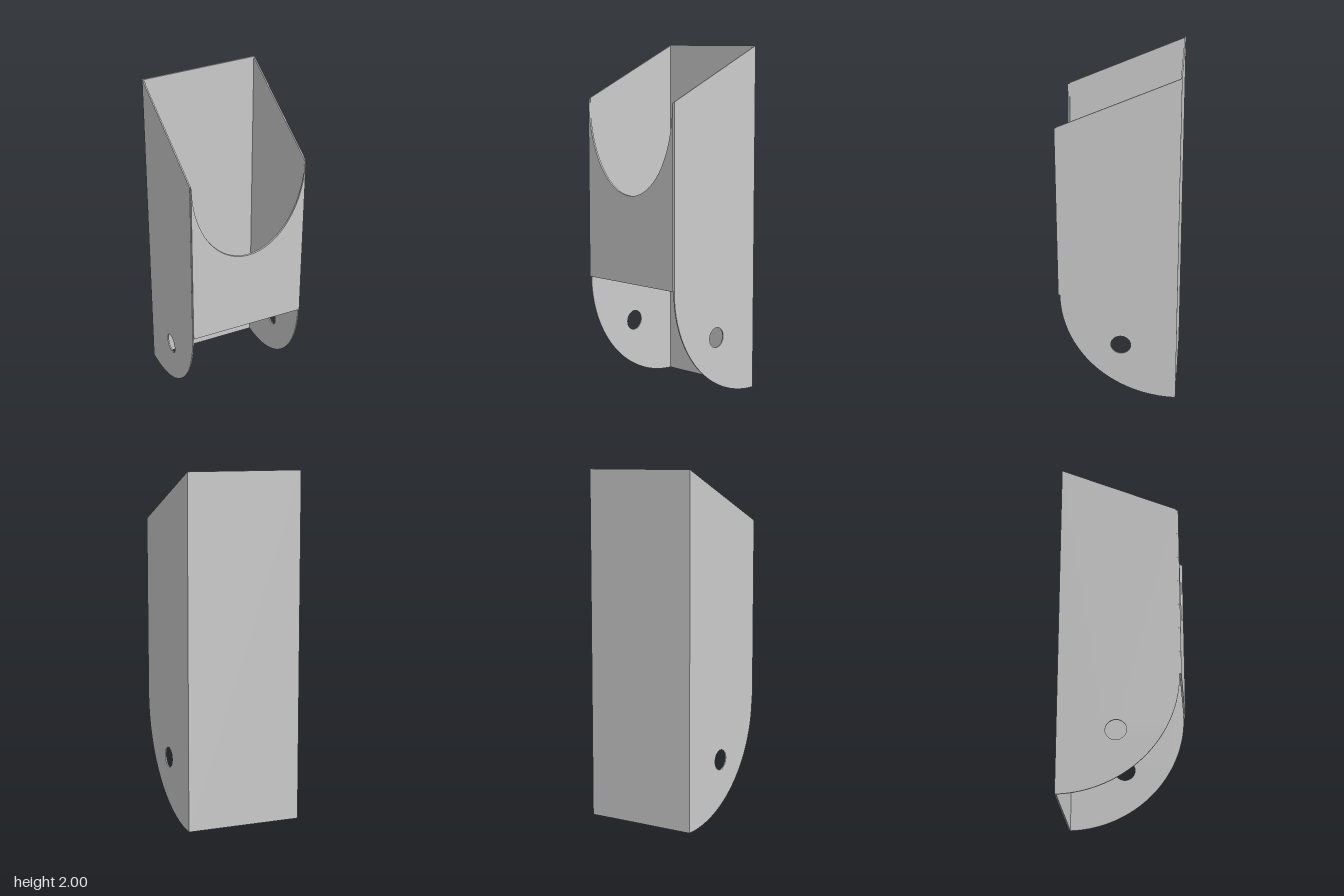
import * as THREE from 'three';

const HALF = 0.336;   // half width, outer faces
const WALL = 0.007;   // sheet thickness
const BACK = -0.34, FRONT = 0.329;
const LOW = 0.67;     // lower edge of the front panel
const RIM = 1.7;      // rim height at the front

export function createModel() {
  const group = new THREE.Group();
  const material = new THREE.MeshStandardMaterial({ color: 0xcccccc });

  const addPart = (name, geometry) => {
    const mesh = new THREE.Mesh(geometry, material);
    mesh.name = name;
    group.add(mesh);
    return mesh;
  };
  const sheet = (shape, depth) =>
    new THREE.ExtrudeGeometry(shape, { depth, bevelEnabled: false, curveSegments: 24 });

  // Side walls: sloped rim, quarter-round foot and a pivot hole (drawn as z, y)
  const side = new THREE.Shape();
  side.moveTo(BACK, 0);
  side.absarc(BACK, LOW, LOW, -Math.PI / 2, 0, false);
  side.lineTo(FRONT, RIM + 0.005);
  side.lineTo(BACK, 2);
  side.closePath();
  const hole = new THREE.Path();
  hole.absarc(-0.018, 0.353, 0.058, 0, Math.PI * 2, true);
  side.holes.push(hole);

  for (const [name, outerX] of [['leftWall', HALF], ['rightWall', -HALF + WALL]]) {
    const geometry = sheet(side, WALL);
    geometry.rotateY(-Math.PI / 2); // drawn x becomes z, depth runs towards -x
    geometry.translate(outerX, 0, 0);
    addPart(name, geometry);
  }

  // Back wall, full height
  const back = new THREE.BoxGeometry(2 * HALF - 0.006, 2, 0.008);
  back.translate(0, 1, BACK + 0.004);
  addPart('backWall', back);

  // Front panel with a deep half-elliptical scoop
  const w = HALF - 0.003;
  const panel = new THREE.Shape();
  panel.moveTo(-w, LOW);
  panel.lineTo(w, LOW);
  panel.lineTo(w, RIM);
  panel.absellipse(0, RIM, w - 0.003, 0.53, 0, Math.PI, true);
  panel.lineTo(-w, RIM);
  panel.closePath();
  const front = sheet(panel, 0.011);
  front.translate(0, 0, FRONT);
  addPart('frontPanel', front);

  return group;
}
